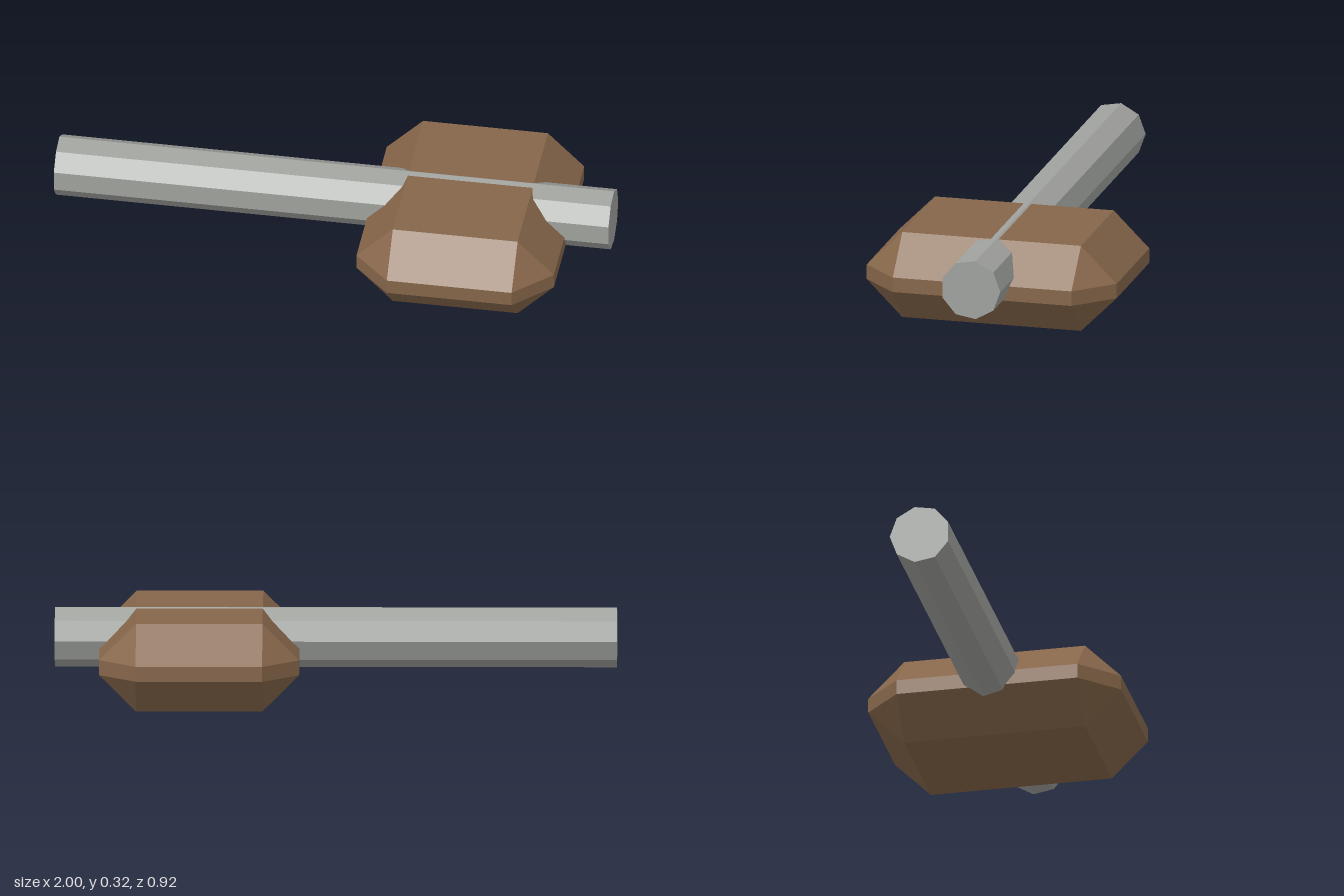
import * as THREE from 'three';
import { ConvexGeometry } from 'three/addons/geometries/ConvexGeometry.js';

// Box with every edge and corner cut at 45 degrees, centred on the origin
function chamferedBox(hx, hy, hz, cut) {
  const points = [];
  for (const sx of [-1, 1]) for (const sy of [-1, 1]) for (const sz of [-1, 1]) {
    points.push(
      new THREE.Vector3(sx * hx, sy * (hy - cut), sz * (hz - cut)),
      new THREE.Vector3(sx * (hx - cut), sy * hy, sz * (hz - cut)),
      new THREE.Vector3(sx * (hx - cut), sy * (hy - cut), sz * hz)
    );
  }
  return new ConvexGeometry(points);
}

export function createModel() {
  const model = new THREE.Group();
  model.name = 'mallet';

  const wood = new THREE.MeshStandardMaterial({ color: 0x86664a });
  wood.name = 'brown wood';
  const metal = new THREE.MeshStandardMaterial({ color: 0xa0a29e });
  metal.name = 'grey metal';

  // Head: chunky chamfered block
  const head = new THREE.Mesh(chamferedBox(0.356, 0.158, 0.46, 0.131), wood);
  head.name = 'head';
  head.position.set(0.485, 0.158, 0);
  model.add(head);

  // Handle: nine-sided rod along x, just breaking through the top of the head
  const rod = new THREE.CylinderGeometry(0.1095, 0.1095, 2, 9, 1, false, Math.PI)
    .rotateZ(Math.PI / 2)
    .toNonIndexed();
  rod.computeVertexNormals();
  const handle = new THREE.Mesh(rod, metal);
  handle.name = 'handle';
  handle.position.set(0, 0.212, 0);
  model.add(handle);

  return model;
}
